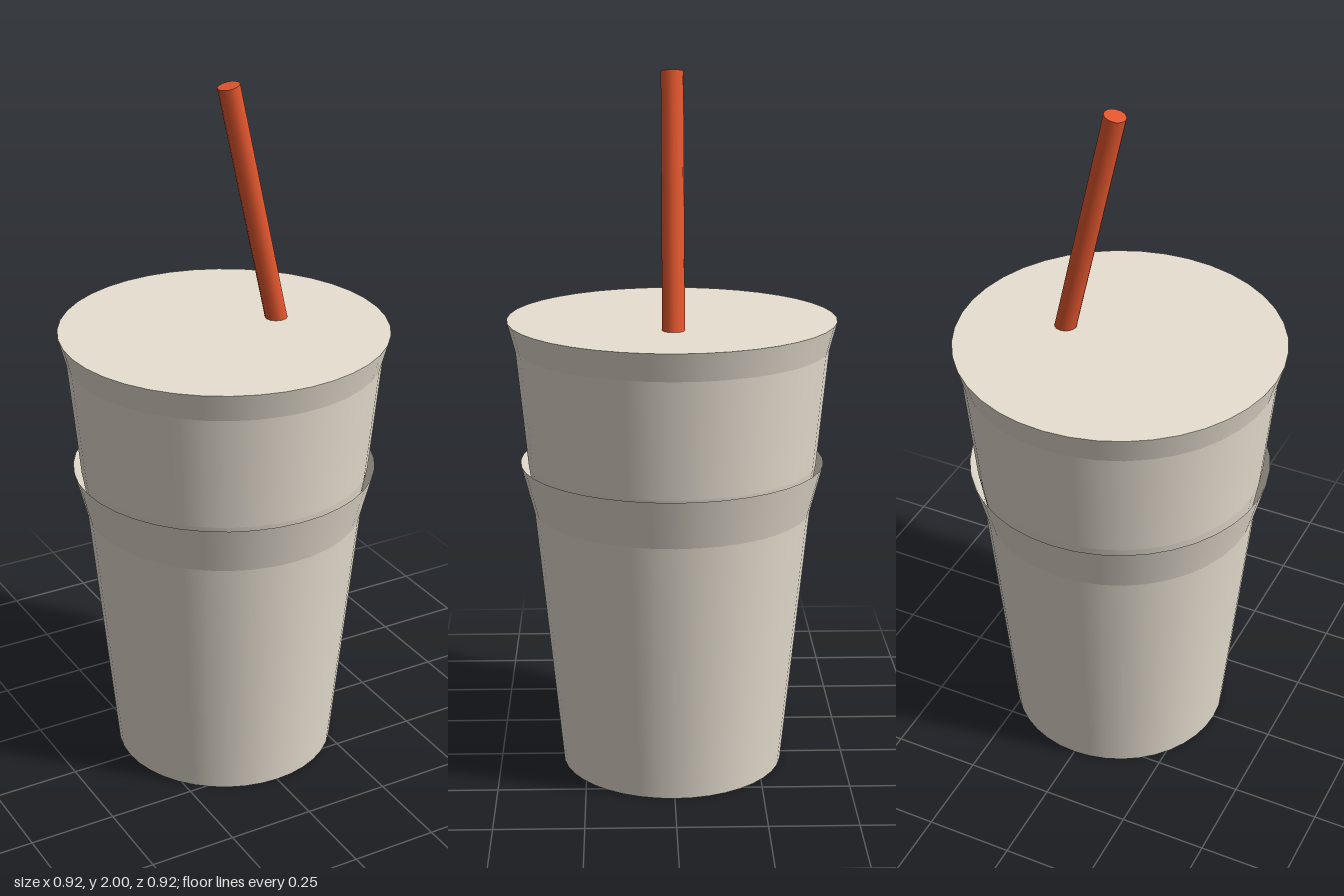
import * as THREE from 'three';

const SIDES = 40;

export function createModel() {
  const model = new THREE.Group();
  const shell = new THREE.MeshStandardMaterial({ color: 0xe8e0d2, side: THREE.DoubleSide });
  shell.name = 'cup cream';
  const straw = new THREE.MeshStandardMaterial({ color: 0xe4572e });
  straw.name = 'straw red';
  const yellow = new THREE.MeshStandardMaterial({ color: 0xe6c44e, side: THREE.DoubleSide });
  yellow.name = 'base yellow';

  const add = (parent, name, geometry, material) => {
    const mesh = new THREE.Mesh(geometry, material);
    mesh.name = name;
    parent.add(mesh);
    return mesh;
  };

  // Open wall made of one conical band per pair of [radius, height] points, creased between bands
  const addWall = (name, profile) => {
    const wall = new THREE.Group();
    wall.name = name;
    for (let i = 0; i < profile.length - 1; i++) {
      const [r0, y0] = profile[i];
      const [r1, y1] = profile[i + 1];
      const band = new THREE.CylinderGeometry(r1, r0, y1 - y0, SIDES, 1, true);
      band.translate(0, (y0 + y1) / 2, 0);
      add(wall, `${name}Band${i + 1}`, band, shell);
    }
    model.add(wall);
  };

  // Horizontal disc facing up or down
  const addDisc = (name, radius, y, up, material) => {
    const disc = new THREE.CircleGeometry(radius, SIDES);
    disc.rotateX(up ? -Math.PI / 2 : Math.PI / 2);
    add(model, name, disc, material).position.y = y;
  };

  // Outer cup with a flared lip, and the taller cup nested in it
  addWall('outerCup', [[0.319, 0], [0.394, 0.76], [0.43, 0.9]]);
  addWall('innerCup', [[0.287, 0.07], [0.385, 0.76], [0.409, 0.9], [0.441, 1.23], [0.462, 1.31]]);

  // Flat lid and recessed base
  addDisc('lid', 0.462, 1.31, true, shell);
  addDisc('base', 0.287, 0.07, false, yellow);

  // Leaning straw, carried on below the lid
  const top = new THREE.Vector3(0.014, 1.993, 0);
  const foot = new THREE.Vector3(0.212, 1.11, 0);
  const axis = top.clone().sub(foot);
  const strawMesh = add(model, 'straw', new THREE.CylinderGeometry(0.031, 0.031, axis.length(), 12), straw);
  strawMesh.position.copy(foot).lerp(top, 0.5);
  strawMesh.quaternion.setFromUnitVectors(new THREE.Vector3(0, 1, 0), axis.normalize());

  return model;
}
